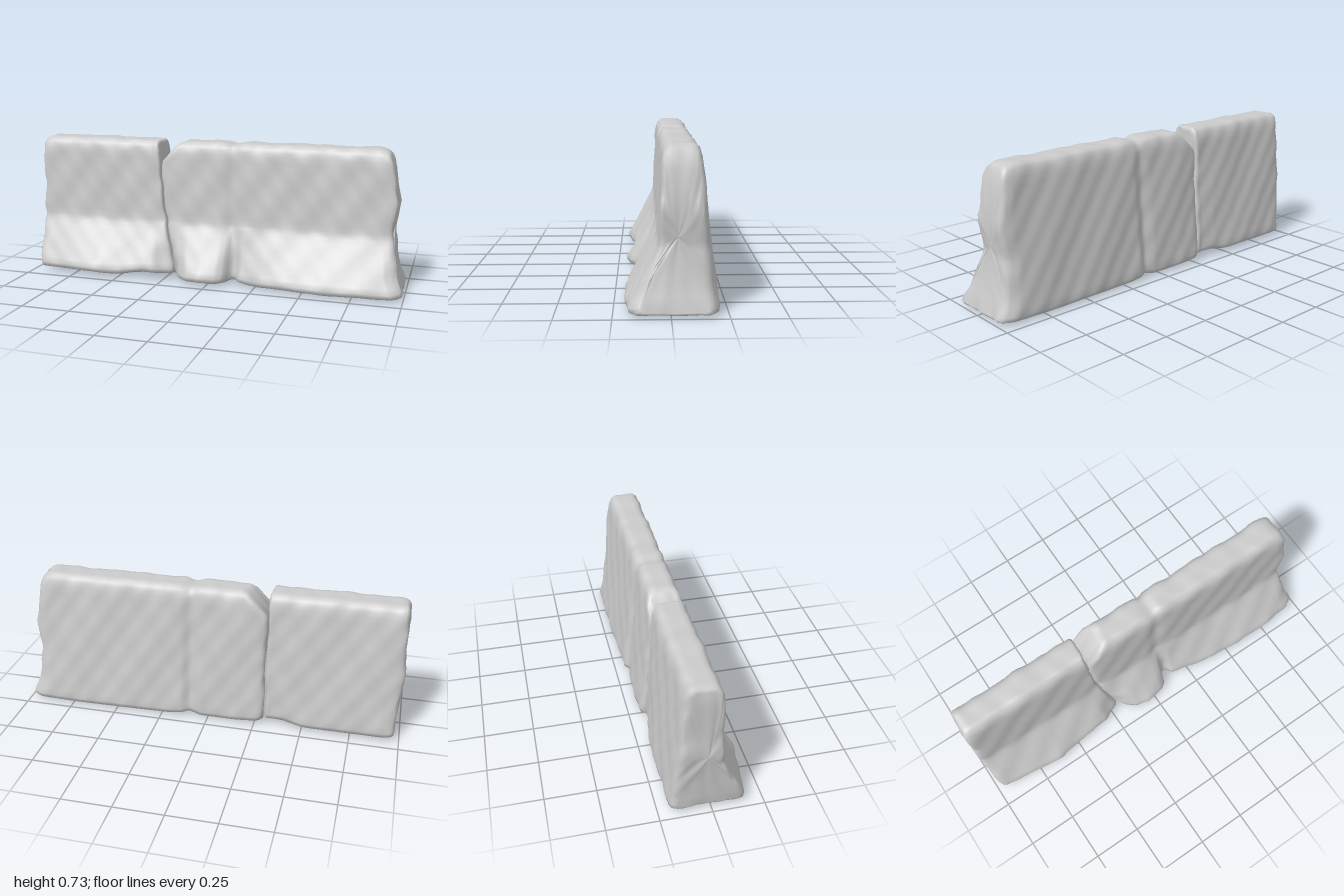
import * as THREE from 'three';

const clamp = THREE.MathUtils.clamp;

// Piecewise-linear lookup in [key, value] pairs
function lookup(table, k) {
  if (k <= table[0][0]) return table[0][1];
  for (let i = 1; i < table.length; i++) {
    const [k0, v0] = table[i - 1], [k1, v1] = table[i];
    if (k <= k1) return v0 + (v1 - v0) * (k - k0) / (k1 - k0);
  }
  return table[table.length - 1][1];
}

// Gentle worn-concrete undulation
const wear = (x, y, z) =>
  0.0025 * Math.sin(17 * x + 9 * y + 4 * z) + 0.002 * Math.sin(31 * x - 23 * y + 13 * z + 1) +
  0.0015 * Math.sin(53 * x + 41 * y - 29 * z + 2);

// Ragged fracture line across the barrier: slanted at the front, upright at the back
const crackFront = [[0, -0.2], [0.05, -0.2], [0.15, -0.225], [0.3, -0.255], [0.45, -0.28], [0.6, -0.305], [0.73, -0.315]];
function crack(y, z) {
  const k = clamp((0.1 - z) / 0.25, 0, 1);
  return lookup(crackFront, y) * (1 - k) - 0.3 * k;
}

// Cross-section as [z, y]: up the front, over the top, down the back, under the base
function section(front, back, seam, base) {
  const corners = [
    [front - 0.025, base], [front - 0.004, base + 0.008], [front, base + 0.03],
    [0.063 - seam, 0.272], [0.053 - seam, 0.305],
    [0.036 - seam, 0.665], [0.026 - seam, 0.703], [0.002 - seam, 0.725 - seam],
    [-0.098 + seam, 0.725 - seam], [-0.123 + seam, 0.708 - seam], [-0.137 + seam, 0.665],
    [back, base + 0.03], [back + 0.004, base + 0.008], [back + 0.025, base],
  ];
  const steps = [1, 1, 9, 2, 12, 2, 2, 5, 2, 2, 18, 1, 1, 10];
  const ring = [];
  corners.forEach(([z, y], i) => {
    const [z1, y1] = corners[(i + 1) % corners.length];
    for (let s = 0; s < steps[i]; s++) {
      const t = s / steps[i];
      ring.push([z + (z1 - z) * t, y + (y1 - y) * t]);
    }
  });
  return ring;
}

// A broken length of barrier: rings along x, closed at both ends by shrinking rings
function barrierPiece({ name, from, to, count, front, back, base, seamAt, reach, leftEnd, rightEnd, round }) {
  // [x inset, z scale, y scale] towards the middle of an end face
  const cap = [[0, 0, 0], [0, 0.25, 0.25], [0, 0.5, 0.5], [0, 0.72, 0.76], [0.04, 0.84, 0.94], [0.2, 0.93, 0.975], [0.5, 0.975, 0.99]];
  const stations = cap.map(([d, sz, sy], i) => [from + d * round[0], sz, sy, i]);
  const a = from + round[0], b = to - round[1];
  for (let i = 0; i <= count; i++) stations.push([a + (b - a) * i / count, 1, 1]);
  [...cap].reverse().forEach(([d, sz, sy]) => stations.push([to - d * round[1], sz, sy]));

  const positions = [], index = [];
  let n = 0;
  for (const [X, sz, sy] of stations) {
    const seam = seamAt === null ? 0 : 0.011 * Math.exp(-(((X - seamAt) / 0.035) ** 2));
    const ring = section(lookup(front, X), lookup(back, X), seam, lookup(base, X));
    n = ring.length;
    const wl = clamp((from + reach[0] - X) / reach[0], 0, 1);
    const wr = clamp((X - to + reach[1]) / reach[1], 0, 1);
    for (const [z0, y0] of ring) {
      const cy = 0.34, cz = -0.03;
      const y = cy + (y0 - cy) * sy, z = cz + (z0 - cz) * sz;
      const x = X + wl * (leftEnd(y, z) - from) + wr * (rightEnd(y, z) - to);
      const w = wear(x, y, z);
      const side = clamp((z - cz) / 0.06, -1, 1);
      positions.push(
        x + (wl + wr) * 1.2 * wear(x * 0.3, y * 1.6, z * 3),
        Math.max(0, y + (y > 0.7 ? 0.6 * w : y < 0.05 ? 0.7 * w : 0)),
        z + side * w);
    }
  }
  for (let i = 0; i < stations.length - 1; i++) {
    for (let j = 0; j < n; j++) {
      const k = (j + 1) % n;
      const p = i * n + j, q = p + n, r = i * n + k + n, s = i * n + k;
      index.push(p, q, r, p, r, s);
    }
  }
  const geometry = new THREE.BufferGeometry();
  geometry.setAttribute('position', new THREE.Float32BufferAttribute(positions, 3));
  geometry.setIndex(index);
  geometry.computeVertexNormals();
  const mesh = new THREE.Mesh(geometry, new THREE.MeshStandardMaterial({ color: 0xcccccc, roughness: 0.9 }));
  mesh.name = name;
  return mesh;
}

export function createModel() {
  const group = new THREE.Group();
  group.name = 'brokenConcreteBarrier';

  // Shorter piece on the -x side
  group.add(barrierPiece({
    name: 'shortBarrierPiece', from: -0.98, to: -0.2, count: 50,
    front: [[-0.98, 0.165], [-0.85, 0.178], [-0.72, 0.192], [-0.62, 0.203], [-0.52, 0.19], [-0.42, 0.175], [-0.3, 0.165], [-0.26, 0.14], [-0.2, 0.115]],
    back: [[-0.98, -0.19], [-0.9, -0.2], [-0.55, -0.198], [-0.38, -0.185], [-0.25, -0.165]],
    base: [[-0.98, 0.018], [-0.5, 0.016], [-0.36, 0.034], [-0.3, 0.03], [-0.2, 0.022]],
    seamAt: null, reach: [0.15, 0.3], round: [0.035, 0.02],
    leftEnd: (y) => lookup([[0, -0.975], [0.2, -0.98], [0.35, -0.993], [0.5, -0.985], [0.6, -0.99], [0.73, -0.98]], y),
    rightEnd: (y, z) => crack(y, z) - 0.003,
  }));

  // Longer piece, chipped at the broken top corner and gouged along a seam
  group.add(barrierPiece({
    name: 'longBarrierPiece', from: -0.2, to: 1, count: 90,
    front: [[-0.2, 0.105], [-0.17, 0.15], [-0.12, 0.192], [-0.04, 0.203], [0.05, 0.187], [0.085, 0.165], [0.105, 0.105], [0.135, 0.1], [0.16, 0.135], [0.28, 0.168], [0.42, 0.187], [0.6, 0.205], [0.8, 0.198], [0.94, 0.185], [1, 0.165]],
    back: [[-0.2, -0.185], [-0.1, -0.198], [0.04, -0.192], [0.1, -0.172], [0.14, -0.198], [0.4, -0.207], [0.72, -0.214], [0.92, -0.208], [1, -0.19]],
    base: [[-0.2, 0.014], [0.04, 0.008], [0.11, 0.016], [0.2, 0.006], [1, 0.008]],
    seamAt: 0.1, reach: [0.2, 0.35], round: [0.025, 0.06],
    leftEnd: (y, z) => y > 0.61 ? crack(0.61, z) + (y - 0.61) * 0.95 : crack(y, z) + 0.003,
    rightEnd: (y) => lookup([[0, 1], [0.03, 0.995], [0.1, 0.962], [0.3, 0.925], [0.46, 0.95], [0.58, 0.925], [0.66, 0.915], [0.7, 0.9], [0.73, 0.88]], y),
  }));

  return group;
}
